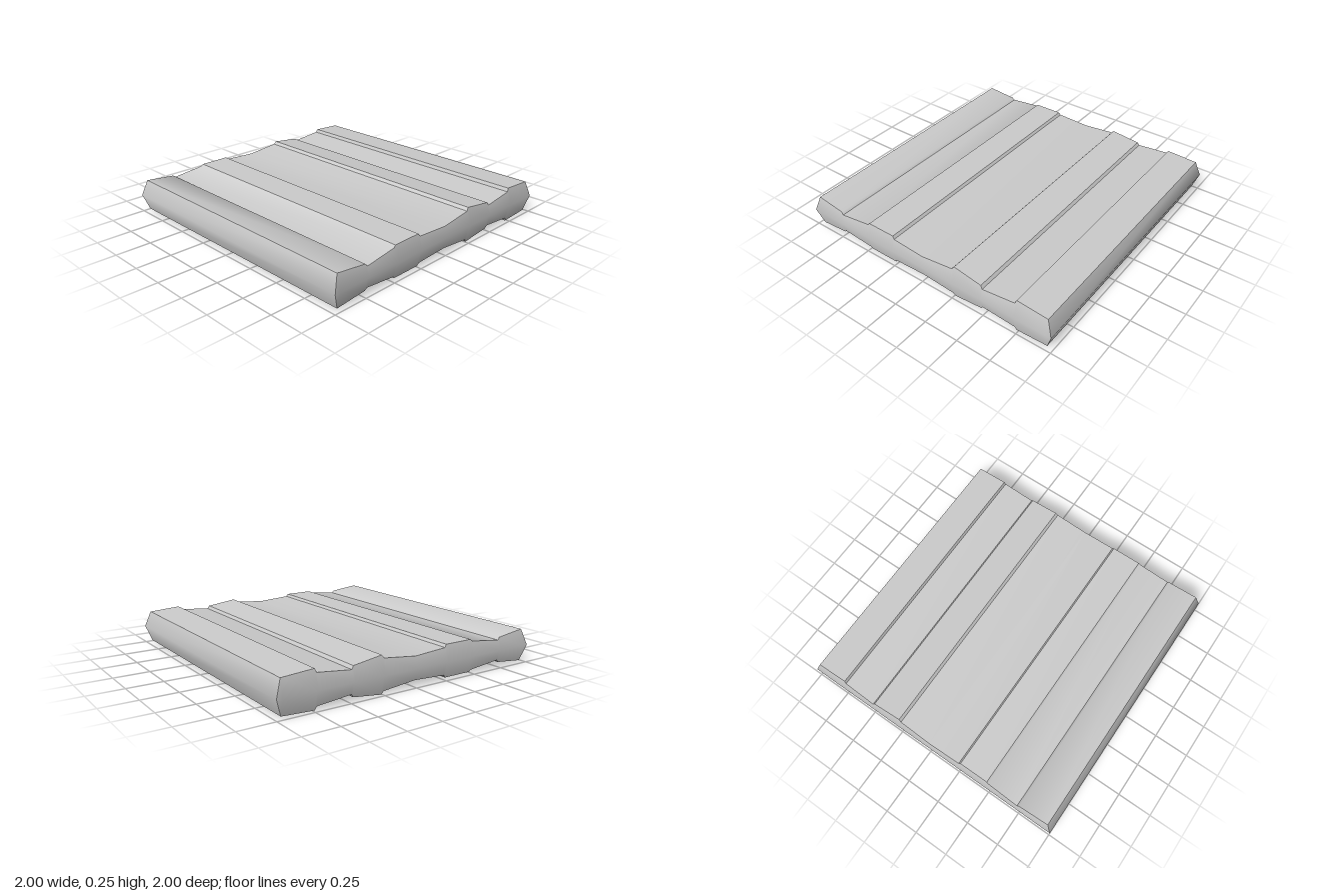
import * as THREE from 'three';
import { toCreasedNormals } from 'three/addons/utils/BufferGeometryUtils.js';

const MID = 0.13;    // height of the middle seam
const SLOPE = 0.23;  // how far the end bevels lean in per unit of height

// Half thickness of the slab along x: [x, half thickness]
const PROFILE = [
  [-1, 0], [-0.96, 0.112], [-0.74, 0.087], [-0.725, 0.07],
  [-0.487, 0.098], [-0.475, 0.111], [-0.26, 0.111], [-0.247, 0.092],
  [0, 0.078], [0.242, 0.104], [0.258, 0.125], [0.472, 0.097],
  [0.486, 0.076], [0.725, 0.101], [0.735, 0.125], [0.96, 0.112], [1, 0],
];

// Six-cornered cross-section: front seam, top edges, back seam, bottom edges
function section([x, h]) {
  const z = 1 - SLOPE * h;
  return [
    [x, MID, 1], [x, MID + h, z], [x, MID + h, -z],
    [x, MID, -1], [x, MID - h, -z], [x, MID - h, z],
  ];
}

function slabGeometry() {
  const rings = PROFILE.map(section);
  const positions = [];
  const triangle = (a, b, c) => {
    const same = (p, q) => p.every((v, i) => v === q[i]);
    if (same(a, b) || same(b, c) || same(c, a)) return;
    positions.push(...a, ...b, ...c);
  };
  for (let i = 0; i < rings.length - 1; i++) {
    for (let k = 0; k < 6; k++) {
      const n = (k + 1) % 6;
      const a = rings[i][k], b = rings[i][n];
      const c = rings[i + 1][n], d = rings[i + 1][k];
      triangle(a, d, b);
      triangle(b, d, c);
    }
  }
  const geometry = new THREE.BufferGeometry();
  geometry.setAttribute('position', new THREE.Float32BufferAttribute(positions, 3));
  return toCreasedNormals(geometry, 0.76);
}

export function createModel() {
  const group = new THREE.Group();
  group.name = 'plankPanel';
  // Stepped planks on both faces with bevelled rims
  const slab = new THREE.Mesh(slabGeometry(), new THREE.MeshStandardMaterial({ color: 0xcccccc }));
  slab.name = 'plankSlab';
  slab.position.y = -0.005;
  group.add(slab);
  return group;
}
